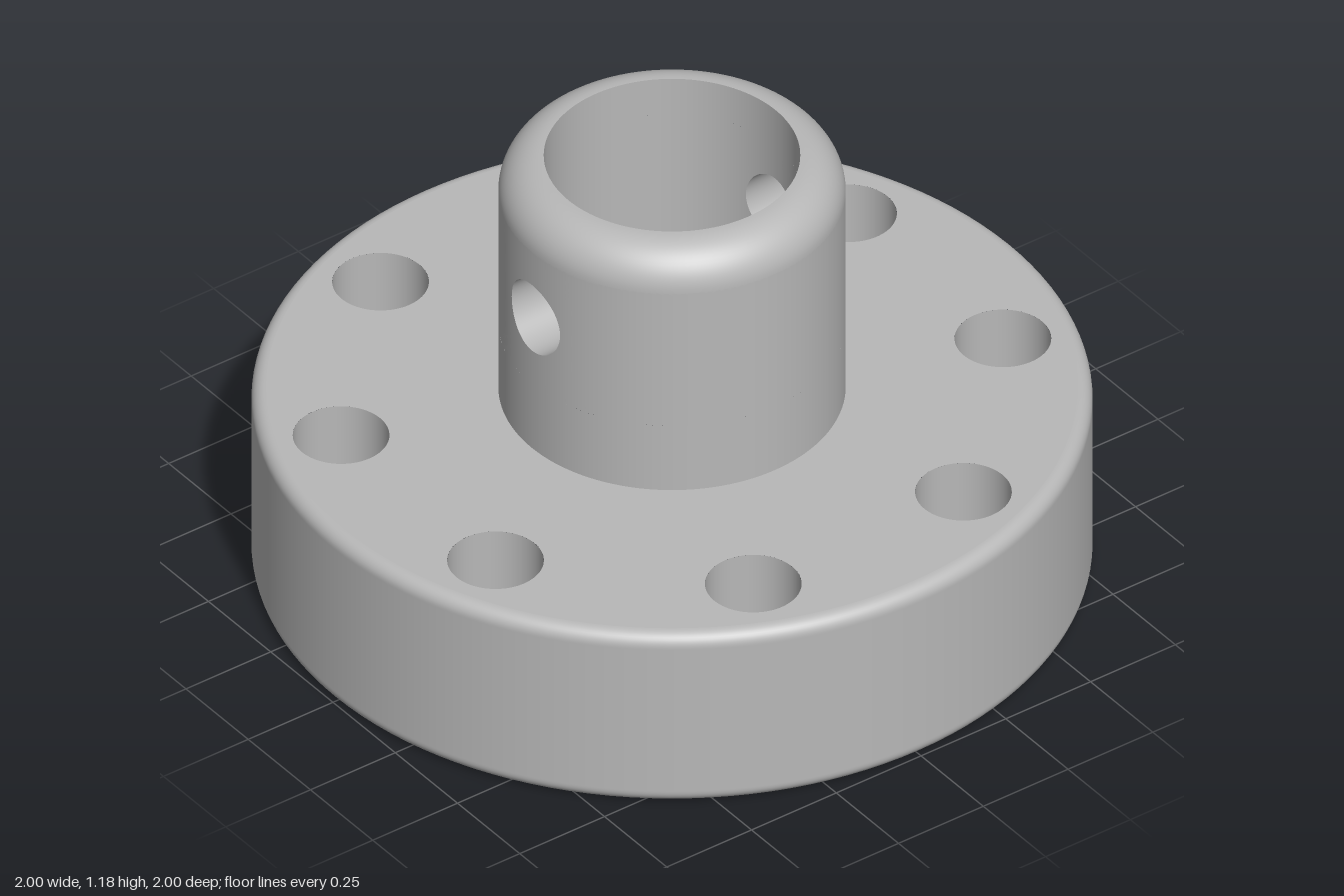
import * as THREE from 'three';

const SEG = 128;
const flange = { r: 1, top: 0.495, fillet: 0.035, recessR: 0.67, recessY: 0.3 };
const hub = { r: 0.413, bore: 0.305, top: 1.18, fillet: 0.105 };
const bolt = { circle: 0.81, r: 0.057, headR: 0.115, seatY: 0.295, count: 8 };
const cross = { r: 0.097, y: 0.88, halfAngle: 0.5, halfHeight: 0.195 };
const yLow = cross.y - cross.halfHeight;
const yHigh = cross.y + cross.halfHeight;

const boltCentres = Array.from({ length: bolt.count }, (_, i) => {
  const a = ((i + 0.5) / bolt.count) * Math.PI * 2;
  return [bolt.circle * Math.cos(a), bolt.circle * Math.sin(a)];
});

// Surface of revolution; profiles run upward on outsides, downward in bores
function turned(points, seg = SEG, start = 0, length = Math.PI * 2) {
  return new THREE.LatheGeometry(points.map(([r, y]) => new THREE.Vector2(r, y)), seg, start, length);
}

// Quarter-circle profile points
function arc(cx, cy, r, from, to, n = 10) {
  return Array.from({ length: n + 1 }, (_, i) => {
    const a = from + ((to - from) * i) / n;
    return [cx + r * Math.cos(a), cy + r * Math.sin(a)];
  });
}

// Flat annulus with the bolt circle cut out, in the xz plane
function drilledRing(outer, inner, holeR, y, faceUp) {
  const shape = new THREE.Shape().absarc(0, 0, outer, 0, Math.PI * 2);
  const cut = (x, z, r) => shape.holes.push(new THREE.Path().absarc(x, z, r, 0, Math.PI * 2, true));
  cut(0, 0, inner);
  boltCentres.forEach(([x, z]) => cut(x, z, holeR));
  return new THREE.ShapeGeometry(shape, SEG / 2)
    .rotateX(faceUp ? -Math.PI / 2 : Math.PI / 2)
    .translate(0, y, 0);
}

// Grid surface from a rule giving position and normal
function gridSurface(nu, nv, rule, flip = false) {
  const pos = [], nor = [], index = [];
  for (let i = 0; i <= nu; i++) {
    for (let j = 0; j <= nv; j++) {
      const { p, n } = rule(i / nu, j / nv);
      pos.push(...p);
      nor.push(...n);
      if (i < nu && j < nv) {
        const a = i * (nv + 1) + j, b = a + 1, d = a + nv + 1, c = d + 1;
        if (flip) index.push(a, d, b, b, d, c);
        else index.push(a, b, d, b, c, d);
      }
    }
  }
  const g = new THREE.BufferGeometry();
  g.setAttribute('position', new THREE.Float32BufferAttribute(pos, 3));
  g.setAttribute('normal', new THREE.Float32BufferAttribute(nor, 3));
  g.setIndex(index);
  return g;
}

// Point where the cross hole meets a cylinder of radius R: [angle, y]
function holeEdge(R, t) {
  return [Math.asin((cross.r * Math.cos(t)) / R), cross.y + cross.r * Math.sin(t)];
}

// Curved wall panel around the cross hole
function piercedPanel(R, inward) {
  const s = inward ? -1 : 1;
  return gridSurface(64, 10, (u, v) => {
    const t = u * Math.PI * 2;
    const c = Math.cos(t), d = Math.sin(t), k = 1 / Math.max(Math.abs(c), Math.abs(d));
    const [a0, y0] = holeEdge(R, t);
    const a = THREE.MathUtils.lerp(a0, c * k * cross.halfAngle, v);
    const y = THREE.MathUtils.lerp(y0, cross.y + d * k * cross.halfHeight, v);
    return { p: [R * Math.sin(a), y, R * Math.cos(a)], n: [s * Math.sin(a), 0, s * Math.cos(a)] };
  }, inward);
}

// Wall of the cross hole, from bore to outside
function crossHoleWall() {
  return gridSurface(64, 1, (u, v) => {
    const t = u * Math.PI * 2, R = v ? hub.r : hub.bore;
    const [a, y] = holeEdge(R, t);
    return { p: [R * Math.sin(a), y, R * Math.cos(a)], n: [-Math.cos(t), -Math.sin(t), 0] };
  });
}

export function createModel() {
  const model = new THREE.Group();
  model.name = 'flangedHub';
  const metal = new THREE.MeshStandardMaterial({ color: 0xb8b8b8 });
  metal.name = 'plain grey';
  const add = (parent, name, geometry) => {
    const mesh = new THREE.Mesh(geometry, metal);
    mesh.name = name;
    parent.add(mesh);
    return mesh;
  };
  const group = (name) => {
    const g = new THREE.Group();
    g.name = name;
    model.add(g);
    return g;
  };

  // Flange: rounded rim, drilled faces and the recess underneath
  const base = group('flange');
  const f = flange.fillet, inR = flange.r - f;
  add(base, 'flangeRim', turned([
    ...arc(inR, f, f, -Math.PI / 2, 0), [flange.r, f + 0.004],
    [flange.r, flange.top - f - 0.004], ...arc(inR, flange.top - f, f, 0, Math.PI / 2),
  ]));
  add(base, 'flangeTop', drilledRing(inR, hub.r, bolt.headR, flange.top, true));
  add(base, 'flangeBottom', drilledRing(inR, flange.recessR, bolt.r, 0, false));
  add(base, 'recessCeiling', turned([[hub.bore, flange.recessY], [flange.recessR, flange.recessY]]));
  add(base, 'recessWall', turned([[flange.recessR, flange.recessY], [flange.recessR, 0]]));

  // Counterbored bolt holes
  const holes = group('boltHoles');
  const holeParts = {
    counterboreWall: turned([[bolt.headR, flange.top], [bolt.headR, bolt.seatY]], 48),
    boltSeat: turned([[bolt.headR, bolt.seatY], [bolt.r, bolt.seatY]], 48),
    boltHoleWall: turned([[bolt.r, bolt.seatY], [bolt.r, 0]], 48),
  };
  for (const [x, z] of boltCentres) {
    for (const [name, g] of Object.entries(holeParts)) add(holes, name, g).position.set(x, 0, z);
  }

  // Hub: plain bands below and above the cross hole
  const tube = group('hub');
  add(tube, 'hubLowerWall', turned([[hub.r, flange.top], [hub.r, yLow]]
  ));
  add(tube, 'hubRoundedTop', turned([
    [hub.r, yHigh - 0.004],
    ...arc(hub.r - hub.fillet, hub.top - hub.fillet, hub.fillet, 0, Math.PI / 2, 16),
    [hub.bore, hub.top],
  ]));
  add(tube, 'boreLower', turned([[hub.bore, yLow], [hub.bore, flange.recessY]]));
  add(tube, 'boreUpper', turned([[hub.bore, hub.top], [hub.bore, yHigh]]));

  // Middle band: pierced front and back panels, plain side panels
  const sideStart = cross.halfAngle, sideLength = Math.PI - 2 * cross.halfAngle;
  const halfParts = {
    hubPiercedPanel: piercedPanel(hub.r, false),
    borePiercedPanel: piercedPanel(hub.bore, true),
    crossHoleWall: crossHoleWall(),
    hubSidePanel: turned([[hub.r, yLow], [hub.r, yHigh]], 48, sideStart, sideLength),
    boreSidePanel: turned([[hub.bore, yHigh], [hub.bore, yLow]], 48, sideStart, sideLength),
  };
  for (const turn of [0, Math.PI]) {
    for (const [name, g] of Object.entries(halfParts)) add(tube, name, g).rotation.y = turn;
  }
  return model;
}
